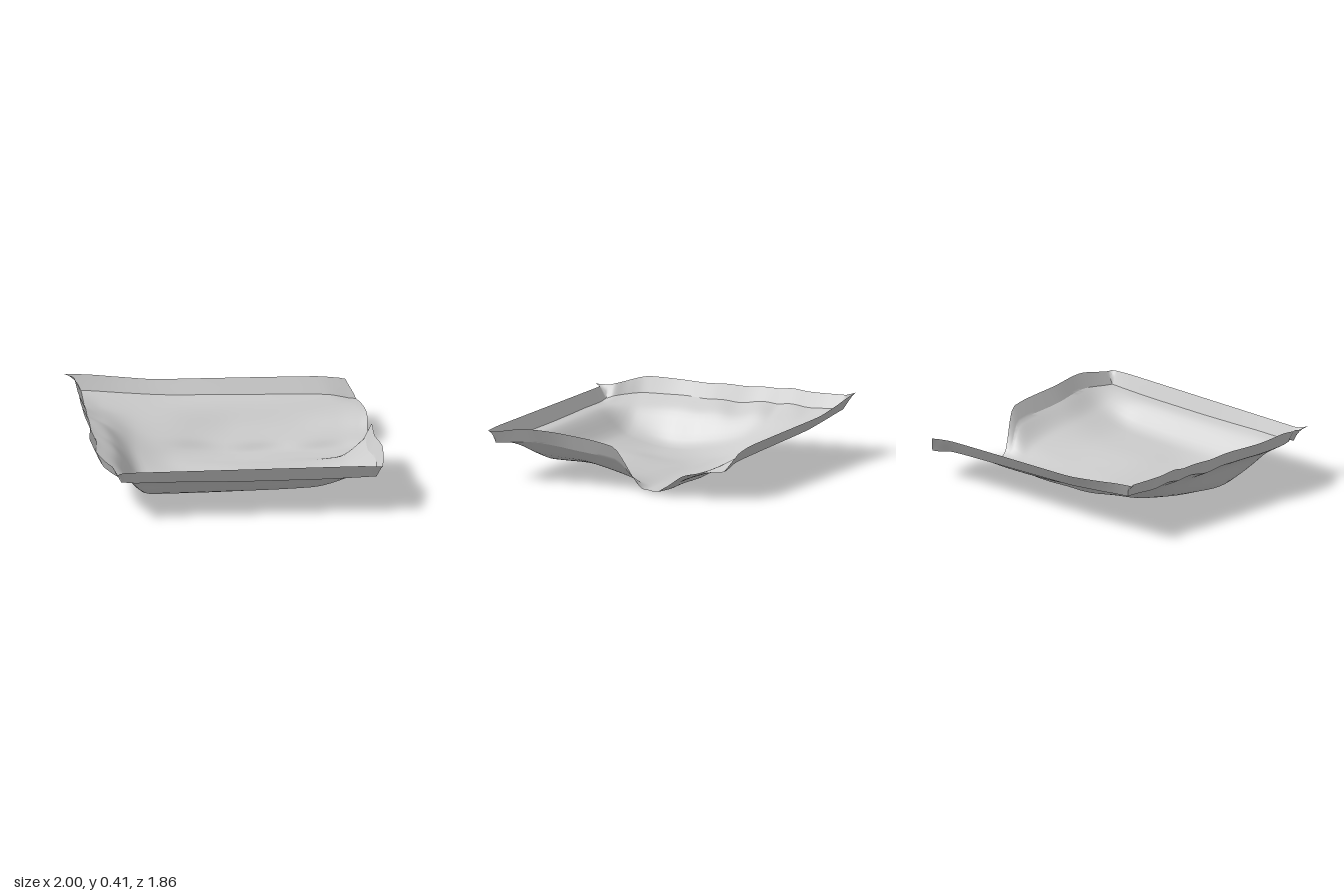
import * as THREE from 'three';
import { toCreasedNormals } from 'three/addons/utils/BufferGeometryUtils.js';

// Depth of each cross-section, back to front; the first and last are the outer rim.
const ROW_Z = [-0.92, -0.86, -0.78, -0.6, -0.45, -0.37, -0.25, -0.05, 0.25, 0.57, 0.77, 0.83, 0.87];
// Column positions between the inner edges of the side rims (0 = left of plan, 1 = right).
const COL_F = [0, 0.065, 0.18, 0.325, 0.54, 0.76, 0.915, 1];
// Heights of each cross-section: rim, inner rim, bed..., inner rim, rim.
const HEIGHTS = [
  [.41, .41, .40, .375, .35, .345, .34, .335, .32, .31],
  [.40, .31, .30, .28, .26, .25, .24, .23, .20, .195],
  [.40, .31, .29, .265, .245, .235, .225, .21, .195, .19],
  [.40, .30, .26, .21, .18, .125, .115, .13, .15, .16],
  [.415, .32, .26, .16, .11, .07, .065, .065, .065, .065],
  [.405, .31, .25, .13, .06, .012, .012, .015, .02, .025],
  [.405, .31, .25, .09, .025, .01, .015, .015, .015, .02],
  [.405, .30, .24, .045, .007, .035, .05, .085, .21, .31],
  [.405, .31, .24, .018, .025, .075, .09, .15, .25, .355],
  [.415, .31, .24, .085, .085, .09, .10, .18, .285, .38],
  [.37, .29, .25, .245, .24, .24, .245, .25, .265, .35],
  [.355, .27, .26, .26, .255, .25, .25, .255, .26, .34],
  [.355, .35, .35, .35, .35, .35, .35, .35, .345, .34],
];
// Plan outlines of the side rims as [z, x].
const LEFT_EDGE = [[-0.92, -1], [-0.85, -0.94], [-0.4, -0.94], [0, -0.93], [0.12, -0.92], [0.35, -0.94],
  [0.6, -0.92], [0.72, -0.87], [0.8, -0.82], [0.87, -0.81]];
const RIGHT_EDGE = [[-0.92, 0.88], [-0.85, 0.95], [-0.62, 1], [-0.38, 0.97], [-0.25, 0.9], [-0.05, 0.98],
  [0.3, 0.97], [0.6, 1], [0.87, 0.98]];

// Monotone cubic through points, so banks stay smooth without overshooting.
function smooth(xs, ys, x) {
  let k = 0;
  while (k < xs.length - 2 && x > xs[k + 1]) k++;
  const d = (i) => (ys[i + 1] - ys[i]) / (xs[i + 1] - xs[i]);
  const slope = (i) => {
    if (i === 0) return d(0);
    if (i === xs.length - 1) return d(i - 1);
    const a = d(i - 1), b = d(i);
    return a * b <= 0 ? 0 : (2 * a * b) / (a + b);
  };
  const h = xs[k + 1] - xs[k], t = (x - xs[k]) / h, t2 = t * t, t3 = t2 * t;
  return ys[k] * (2 * t3 - 3 * t2 + 1) + h * slope(k) * (t3 - 2 * t2 + t)
    + ys[k + 1] * (3 * t2 - 2 * t3) + h * slope(k + 1) * (t3 - t2);
}

const edgeAt = (edge, z) => smooth(edge.map((p) => p[0]), edge.map((p) => p[1]), z);
const bump = (v, centre, width) => Math.exp(-(((v - centre) / width) ** 2));

// Splits each control interval into equal steps.
function subdivide(count, steps) {
  return Array.from({ length: (count - 1) * steps + 1 }, (_, i) => i / steps);
}

function createBasinGeometry() {
  const us = subdivide(10, 7), vs = subdivide(13, 7);
  const innerZ = ROW_Z.slice(1, -1), innerIds = innerZ.map((_, i) => i + 1);
  const innerF = COL_F.map((_, i) => i + 1);
  const positions = [], indices = [];

  for (const v of vs) {
    // Rim strips are straight; the bed follows the smooth curve.
    let z, row;
    if (v < 1 || v > 11) {
      const k = v < 1 ? 0 : 11, t = v - k;
      z = THREE.MathUtils.lerp(ROW_Z[k], ROW_Z[k + 1], t);
      row = HEIGHTS[k].map((h, c) => THREE.MathUtils.lerp(h, HEIGHTS[k + 1][c], t));
    } else {
      z = smooth(innerIds, innerZ, v);
      row = HEIGHTS[0].map((_, c) => smooth(innerZ, HEIGHTS.slice(1, -1).map((r) => r[c]), z));
    }
    const xl = edgeAt(LEFT_EDGE, z), xr = edgeAt(RIGHT_EDGE, z);
    const xli = xl + 0.045, xri = xr - 0.045;
    const columns = COL_F.map((f) => THREE.MathUtils.lerp(xli, xri, f));

    for (const u of us) {
      let x, y;
      if (u < 1) {
        x = THREE.MathUtils.lerp(xl, xli, u);
        y = THREE.MathUtils.lerp(row[0], row[1], u);
      } else if (u > 8) {
        x = THREE.MathUtils.lerp(xri, xr, u - 8);
        y = THREE.MathUtils.lerp(row[8], row[9], u - 8);
      } else {
        x = smooth(innerF, columns, u);
        y = smooth(columns, row.slice(1, -1), x);
      }
      // Gullies down the left bank, and a gentle wander of the channel edge.
      y += 0.01 * Math.sin(z * 21 + 1) * bump(x, -0.83, 0.1) * bump(z, -0.2, 0.4);
      let zz = z + 0.008 * Math.sin(x * 14) * bump(z, -0.41, 0.08);
      // Back rim bows outward; the front left corner comes to a point.
      if (v < 1) zz -= (1 - v) * 0.012 * smooth([-1, -0.6, 0.9], [-1, 0.2, 1], x);
      if (v > 11) zz += (v - 11) * 0.06 * bump(x, -0.82, 0.04);
      positions.push(x, Math.max(0, y), zz);
    }
  }
  const n = us.length;
  for (let j = 0; j < vs.length - 1; j++) {
    for (let i = 0; i < n - 1; i++) {
      const a = j * n + i, b = a + 1, c = a + n, d = c + 1;
      indices.push(a, c, b, b, c, d);
    }
  }
  const geometry = new THREE.BufferGeometry();
  geometry.setAttribute('position', new THREE.Float32BufferAttribute(positions, 3));
  geometry.setIndex(indices);
  return toCreasedNormals(geometry, 0.5);
}

export function createModel() {
  const model = new THREE.Group();
  model.name = 'terrainBasin';
  const material = new THREE.MeshStandardMaterial({ color: 0xcccccc, side: THREE.DoubleSide });
  const basin = new THREE.Mesh(createBasinGeometry(), material);
  basin.name = 'basinSheet';
  model.add(basin);
  return model;
}
